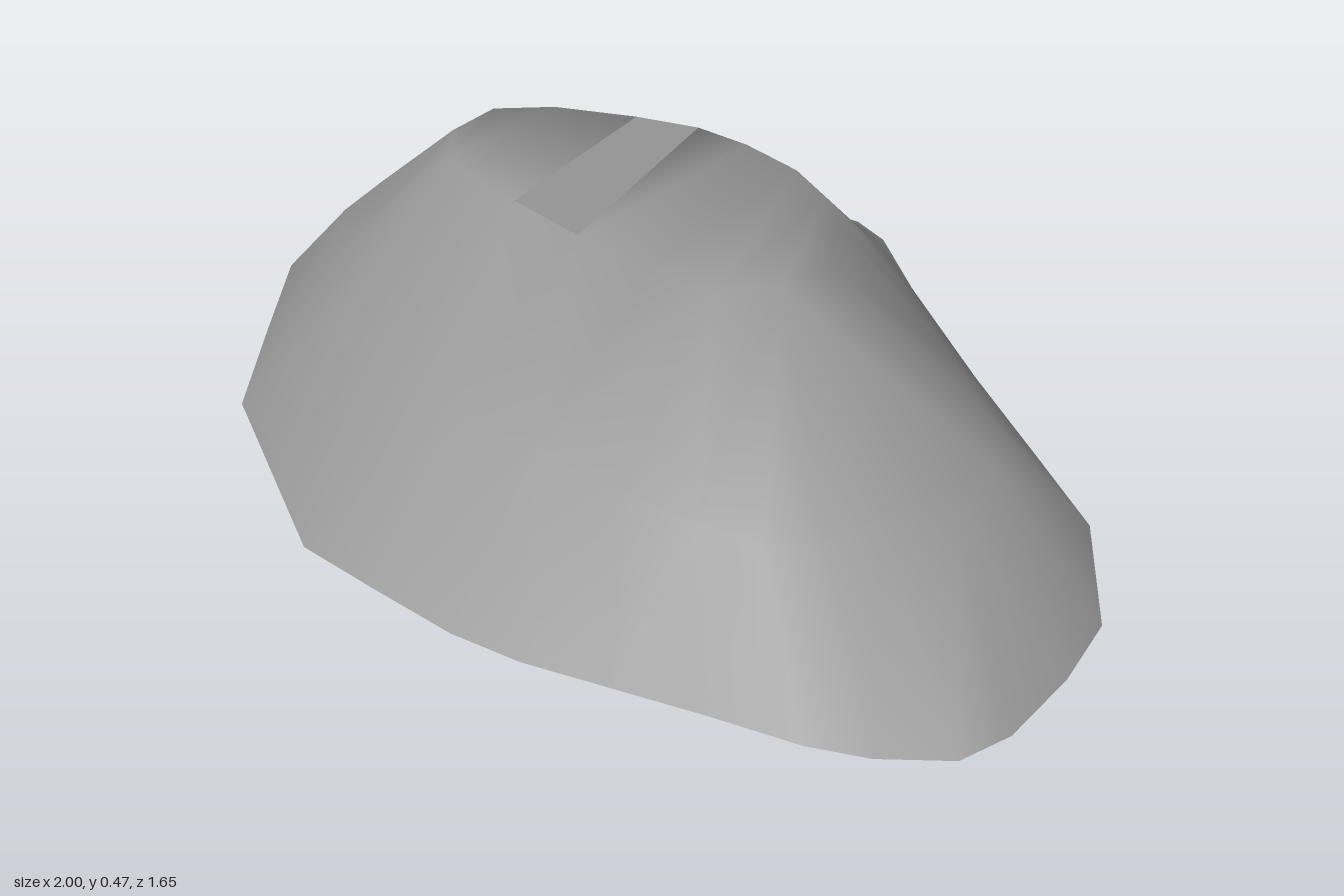
import * as THREE from 'three';

// Height contours as [x, z], each starting at its left end and running round by the front
const contours = [
  { y: 0, points: [
    [-1, -0.16], [-0.92, 0.08], [-0.83, 0.34], [-0.65, 0.52], [-0.48, 0.69], [-0.3, 0.745], [-0.11, 0.8],
    [0.04, 0.82], [0.22, 0.82], [0.4, 0.82], [0.58, 0.825], [0.7, 0.81], [0.84, 0.76], [0.91, 0.67],
    [0.97, 0.5], [1, 0.34], [0.92, 0.07], [0.76, -0.12], [0.59, -0.32], [0.41, -0.54], [0.25, -0.77],
    [0.17, -0.825], [0.05, -0.825], [0, -0.8], [-0.21, -0.79], [-0.35, -0.82], [-0.52, -0.83],
    [-0.61, -0.8], [-0.72, -0.73], [-0.83, -0.57], [-0.97, -0.4]] },
  { y: 0.235, ledge: 11, points: [
    [-0.8, -0.1], [-0.73, 0.08], [-0.62, 0.24], [-0.46, 0.37], [-0.27, 0.45], [-0.06, 0.51], [0.15, 0.57],
    [0.3, 0.6], [0.42, 0.6], [0.52, 0.57], [0.6, 0.47], [0.73, 0.41], [0.75, 0.24], [0.69, 0.09],
    [0.57, -0.08], [0.47, -0.22], [0.37, -0.36], [0.26, -0.46], [0.1, -0.49], [-0.12, -0.49],
    [-0.35, -0.49], [-0.55, -0.46], [-0.69, -0.38], [-0.78, -0.24]] },
  { y: 0.47, points: [
    [-0.54, -0.14], [-0.5, -0.04], [-0.42, 0.02], [-0.3, 0.07], [-0.13, 0.14], [0.05, 0.2], [0.19, 0.22],
    [0.3, 0.16], [0.35, 0.06], [0.34, -0.07], [0.28, -0.17], [0.19, -0.25], [0.06, -0.31], [-0.06, -0.34],
    [-0.2, -0.335], [-0.38, -0.31], [-0.5, -0.255]] },
];

function hillGeometry() {
  const positions = [], index = [];
  const addVertex = (x, y, z) => positions.push(x, y, z) / 3 - 1;
  const copyVertex = (v) => addVertex(...positions.slice(v * 3, v * 3 + 3));
  const quad = (a, b, c, d) => index.push(a, b, c, a, c, d);
  const gap = (a, b) => Math.hypot(
    positions[a * 3] - positions[b * 3], positions[a * 3 + 2] - positions[b * 3 + 2]);

  // Joins two closed loops with triangles, always taking the shorter diagonal
  function stitch(outer, inner) {
    const n = outer.length, m = inner.length;
    let i = 0, j = 0;
    while (i < n || j < m) {
      const a = outer[i % n], b = inner[j % m];
      const nextA = outer[(i + 1) % n], nextB = inner[(j + 1) % m];
      if (j === m || (i < n && gap(nextA, b) <= gap(a, nextB))) {
        index.push(a, nextA, b);
        i++;
      } else {
        index.push(a, nextB, b);
        j++;
      }
    }
  }

  const [base, middle, top] = contours.map(({ y, points }) => points.map(([x, z]) => addVertex(x, y, z)));

  // Lower slope, level ledge on the left shoulder, upper slope
  const { ledge } = contours[1];
  stitch(base, middle);
  index.push(middle[ledge - 1], middle[ledge], middle[ledge + 1]);
  stitch(middle.filter((v, i) => i !== ledge), top);

  // Level summit in strips from front to back; one strip has its own corners and shades flat
  const n = top.length;
  index.push(top[0], top[1], top[n - 1]);
  for (let i = 1; i < (n - 1) / 2; i++) {
    const strip = [top[i], top[i + 1], top[n - i - 1], top[n - i]];
    quad(...(i === 3 ? strip.map(copyVertex) : strip));
  }

  const geometry = new THREE.BufferGeometry();
  geometry.setAttribute('position', new THREE.Float32BufferAttribute(positions, 3));
  geometry.setIndex(index);
  geometry.computeVertexNormals();
  return geometry;
}

export function createModel() {
  const group = new THREE.Group();
  group.name = 'terrain';
  // Open underneath, so both sides show
  const material = new THREE.MeshStandardMaterial({ color: 0x969696, side: THREE.DoubleSide });
  const hill = new THREE.Mesh(hillGeometry(), material);
  hill.name = 'hill';
  group.add(hill);
  return group;
}
